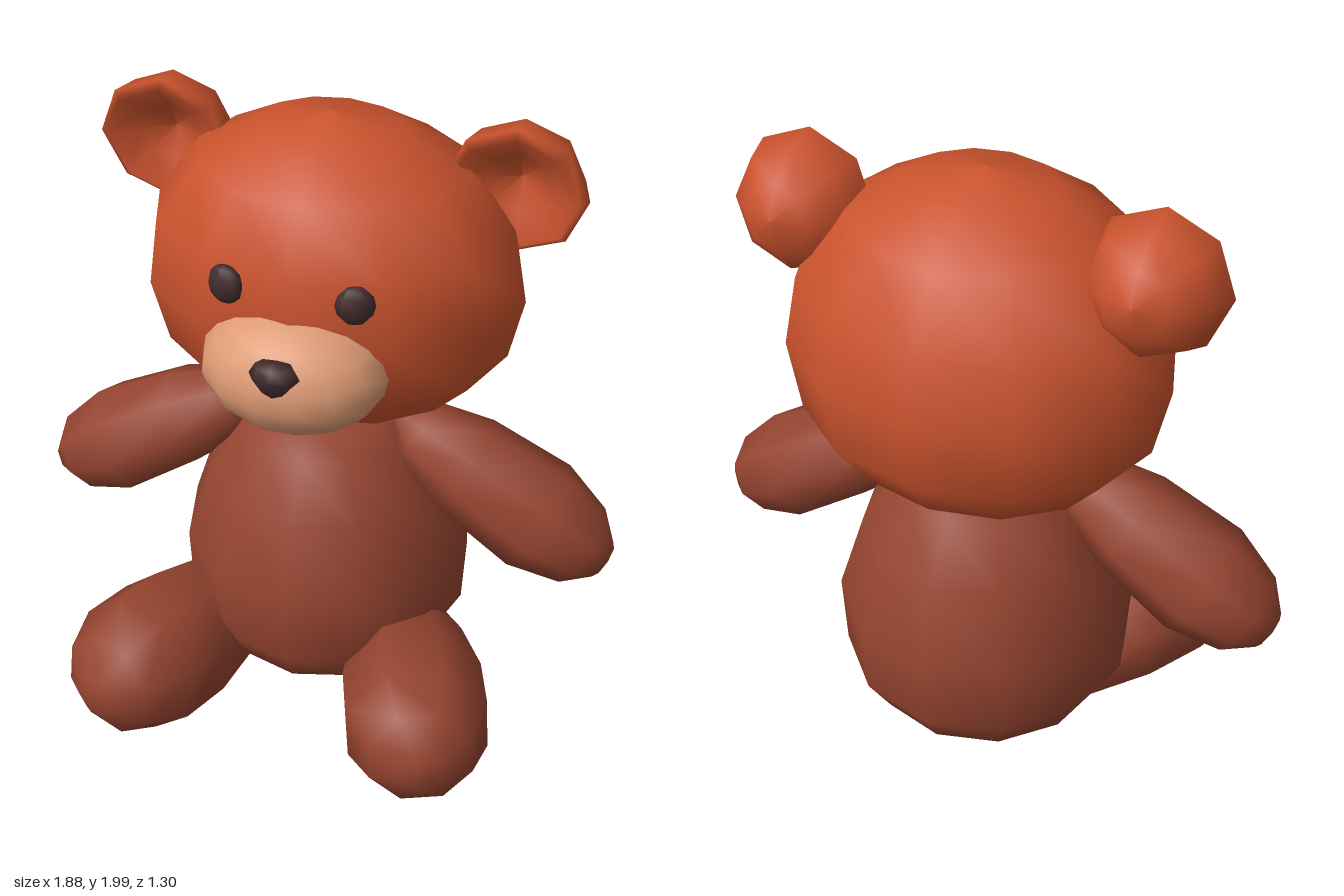
import * as THREE from 'three';

const mat = (name, color) => {
  const m = new THREE.MeshStandardMaterial({ color });
  m.name = name;
  return m;
};

// Rounded solid turned around y from [radius, height] points, bottom to top.
const turned = (points, sides) =>
  new THREE.LatheGeometry(points.map(([r, y]) => new THREE.Vector2(r, y)), sides);

export function createModel() {
  const bear = new THREE.Group();
  bear.name = 'teddyBear';

  const headFur = mat('head orange', 0xc9522d);
  const bodyFur = mat('body brown', 0x954430);
  const muzzleFur = mat('muzzle tan', 0xdd9a74);
  const dark = mat('eye and nose dark', 0x422b2d);

  const add = (name, geometry, material, position = [0, 0, 0]) => {
    const mesh = new THREE.Mesh(geometry, material);
    mesh.name = name;
    mesh.position.set(...position);
    bear.add(mesh);
    return mesh;
  };

  // A turned limb laid along a direction; depth stretches it across.
  const up = new THREE.Vector3(0, 1, 0);
  const limb = (name, profile, start, dir, depth) => {
    const mesh = add(name, turned(profile, 8).scale(1, 1, depth), bodyFur, start);
    mesh.quaternion.setFromUnitVectors(up, new THREE.Vector3(...dir).normalize());
  };

  // Body: pear shape
  const body = turned([
    [0, 0.08], [0.2, 0.085], [0.38, 0.17], [0.455, 0.3], [0.465, 0.54],
    [0.385, 0.79], [0.28, 0.95], [0.2, 1.04], [0, 1.05],
  ], 12).scale(1, 1, 1.04);
  add('body', body, bodyFur, [0, 0, -0.13]);

  // Head: oval, flatter below, leaning slightly forward at the top
  const head = turned([
    [0, 1.015], [0.2, 1.025], [0.41, 1.09], [0.54, 1.23], [0.585, 1.44],
    [0.55, 1.65], [0.41, 1.84], [0.21, 1.95], [0, 1.99],
  ], 12);
  head.applyMatrix4(new THREE.Matrix4().set(
    1, 0, 0, 0,
    0, 1, 0, 0,
    0, 0.08, 0.795, -0.29,
    0, 0, 0, 1,
  ));
  add('head', head, headFur);

  // Muzzle and nose
  const muzzle = add('muzzle', new THREE.SphereGeometry(1, 14, 10), muzzleFur, [0, 1.35, 0.22]);
  muzzle.scale.set(0.28, 0.19, 0.21);
  muzzle.rotation.x = 0.2;

  const nose = turned([[0, -0.065], [0.035, -0.05], [0.075, 0.01], [0.055, 0.045], [0, 0.053]], 8);
  add('nose', nose.scale(1, 1, 0.65), dark, [0, 1.418, 0.4]);

  // Ear: domed back, hollow front
  const ear = turned([
    [0, -0.22], [0.1, -0.195], [0.18, -0.11], [0.212, -0.01],
    [0.185, 0.01], [0.1, -0.05], [0, -0.09],
  ], 8).rotateX(Math.PI / 2);

  // Arm and leg profiles: radius against distance from the joint
  const arm = [
    [0, -0.01], [0.1, 0.09], [0.155, 0.28], [0.176, 0.56], [0.13, 0.73], [0.06, 0.81], [0, 0.825],
  ];
  const leg = [
    [0, 0], [0.11, 0.11], [0.19, 0.32], [0.235, 0.53], [0.235, 0.71], [0.17, 0.85], [0.07, 0.915], [0, 0.92],
  ];

  // Paired parts
  for (const [side, s] of [['left', 1], ['right', -1]]) {
    const eye = add(side + 'Eye', new THREE.SphereGeometry(1, 8, 6), dark, [s * 0.19, 1.61, 0.258]);
    eye.scale.set(0.058, 0.06, 0.035);
    eye.rotation.y = s * 0.3;

    const earMesh = add(side + 'Ear', ear, headFur, [s * 0.53, 1.79, -0.175]);
    earMesh.rotation.x = 0.15;

    limb(side + 'Arm', arm, [s * 0.213, 1.02, -0.09], [s * 0.857, -0.515, 0], 1.12);
    limb(side + 'Leg', leg, [s * 0.23, 0.18, -0.22], [s * 0.3, 0.085, 0.86], 1);
  }

  return bear;
}
